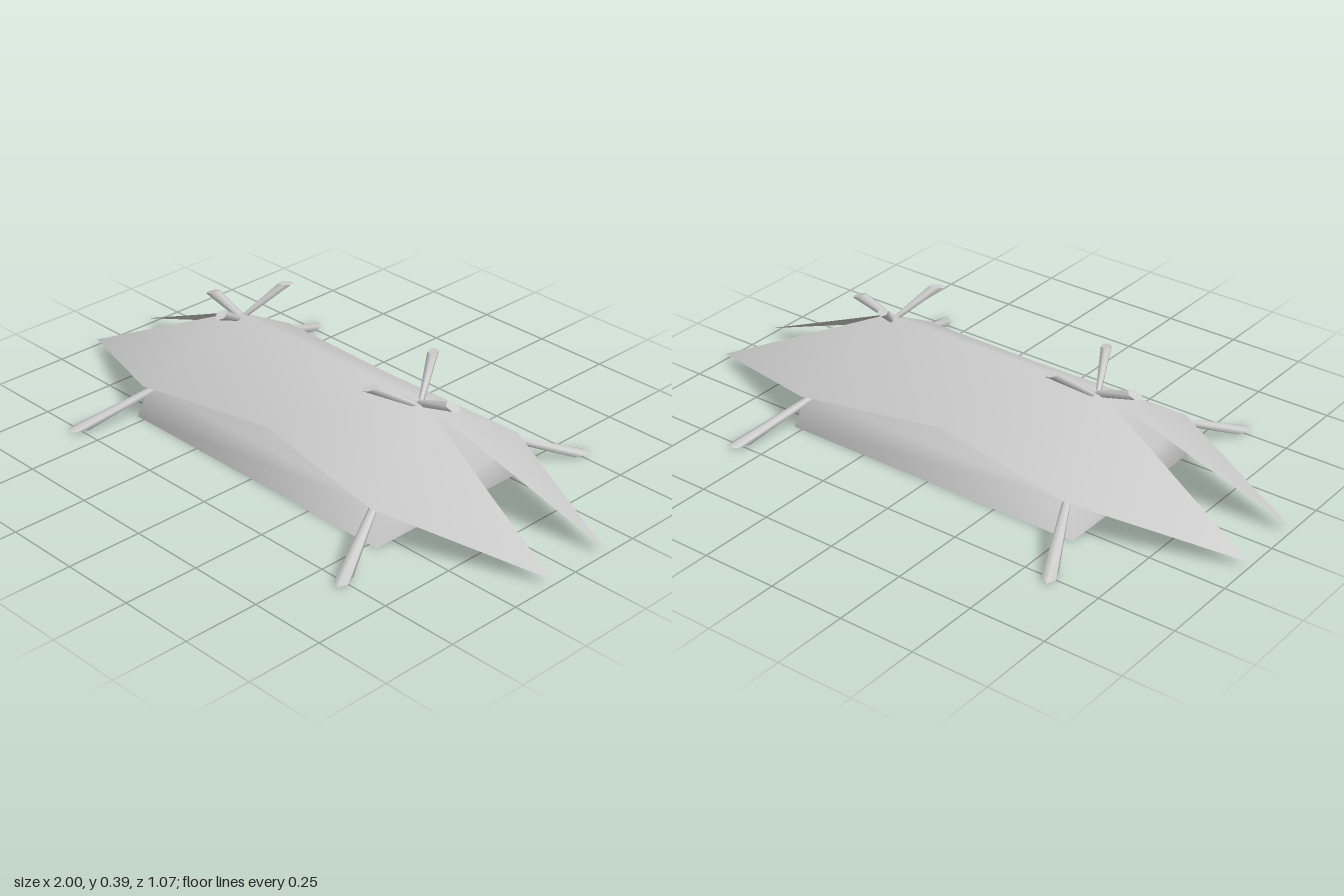
import * as THREE from 'three';

const canvas = new THREE.MeshStandardMaterial({ color: 0xcccccc, side: THREE.DoubleSide });
canvas.name = 'light grey';

function mesh(name, points, index) {
  const g = new THREE.BufferGeometry();
  g.setAttribute('position', new THREE.Float32BufferAttribute(points.flat(), 3));
  g.setIndex(index);
  g.computeVertexNormals();
  const m = new THREE.Mesh(g, canvas);
  m.name = name;
  return m;
}

// Draped roof sheet: a ridge, two eaves and four long pointed corner flaps
function roofSheet() {
  const half = (s, tipZ) => [
    [-1, 0.02, tipZ], [-0.5, 0.118, 0.312 * s], [0, 0.155, 0.25 * s],
    [0.5, 0.118, 0.312 * s], [1, 0.02, tipZ],
  ];
  const points = [[-0.4, 0.305, 0], [0.4, 0.305, 0], ...half(1, 0.1), ...half(-1, -0.125)];
  const front = [[0, 2, 3], [0, 3, 4], [0, 4, 1], [1, 4, 5], [1, 5, 6]];
  const back = front.map(t => t.map(i => (i > 1 ? i + 5 : i)).reverse());
  return mesh('roofSheet', points, [...front, ...back].flat());
}

// Inner walls: steep lower band, then panels rising to a shorter ridge; open below
function innerTent() {
  const corners = [[1, 1], [1, -1], [-1, -1], [-1, 1]];
  const ring = (x, y, z) => corners.map(([sx, sz]) => [sx * x, y, sz * z]);
  const points = [...ring(0.53, 0, 0.314), ...ring(0.505, 0.11, 0.283), [0.38, 0.287, 0], [-0.38, 0.287, 0]];
  const index = [];
  for (let i = 0; i < 4; i++) {
    const j = (i + 1) % 4;
    index.push(i, j, j + 4, i, j + 4, i + 4);
  }
  index.push(4, 5, 8, 5, 6, 9, 5, 9, 8, 6, 7, 9, 7, 4, 8, 7, 8, 9);
  return mesh('innerTent', points, index);
}

// Six-sided tapered pole, thin at the start, with a slanted cut at the thick end
function pole(name, from, to, r0, cutLength, cutDrop, halfWidth) {
  const a = new THREE.Vector3(...from), b = new THREE.Vector3(...to);
  const axis = b.clone().sub(a).normalize();
  const out = new THREE.Vector3(axis.x, 0, axis.z).normalize();
  const cut = out.clone().multiplyScalar(cutLength);
  cut.y -= cutDrop;
  const side = axis.clone().cross(cut).normalize();
  const start = side.clone().cross(axis).multiplyScalar(r0);
  const n = 6, rings = [[], []];
  for (let i = 0; i < n; i++) {
    const c = Math.cos(i / n * Math.PI * 2), s = Math.sin(i / n * Math.PI * 2);
    rings[0].push(a.clone().addScaledVector(start, c).addScaledVector(side, s * r0).toArray());
    rings[1].push(b.clone().addScaledVector(cut, c).addScaledVector(side, s * halfWidth).toArray());
  }
  const index = [];
  for (let i = 0; i < n; i++) {
    const j = (i + 1) % n;
    index.push(i, j, n + j, i, n + j, n + i);
  }
  // End caps on their own vertices so the rims stay sharp
  for (let i = 1; i < n - 1; i++) {
    index.push(2 * n, 2 * n + i + 1, 2 * n + i);
    index.push(3 * n, 3 * n + i, 3 * n + i + 1);
  }
  return mesh(name, [...rings[0], ...rings[1], ...rings[0], ...rings[1]], index);
}

export function createModel() {
  const tent = new THREE.Group();
  tent.name = 'tent';
  tent.add(roofSheet(), innerTent());
  for (const s of [1, -1]) {
    const end = s > 0 ? 'left' : 'right';
    // Corner stays reaching down to the ground
    for (const f of [1, -1]) {
      tent.add(pole(end + (f > 0 ? 'FrontStay' : 'BackStay'),
        [s * 0.475, 0.115, f * 0.26], [s * 0.585, 0.007, f * 0.499], 0.011, 0.042, 0, 0.024));
    }
    // Pole tops fanning out above each end of the ridge
    tent.add(
      pole(end + 'FrontPoleTop', [s * 0.39, 0.285, 0], [s * 0.322, 0.37, 0.138], 0.008, 0.026, 0.005, 0.017),
      pole(end + 'BackPoleTop', [s * 0.39, 0.285, 0], [s * 0.317, 0.391, -0.128], 0.008, 0.025, 0.002, 0.017),
      pole(end + 'OuterPoleTop', [s * 0.37, 0.288, 0], [s * 0.52, 0.334, 0], 0.011, 0.024, 0.009, 0.02),
    );
  }
  return tent;
}
